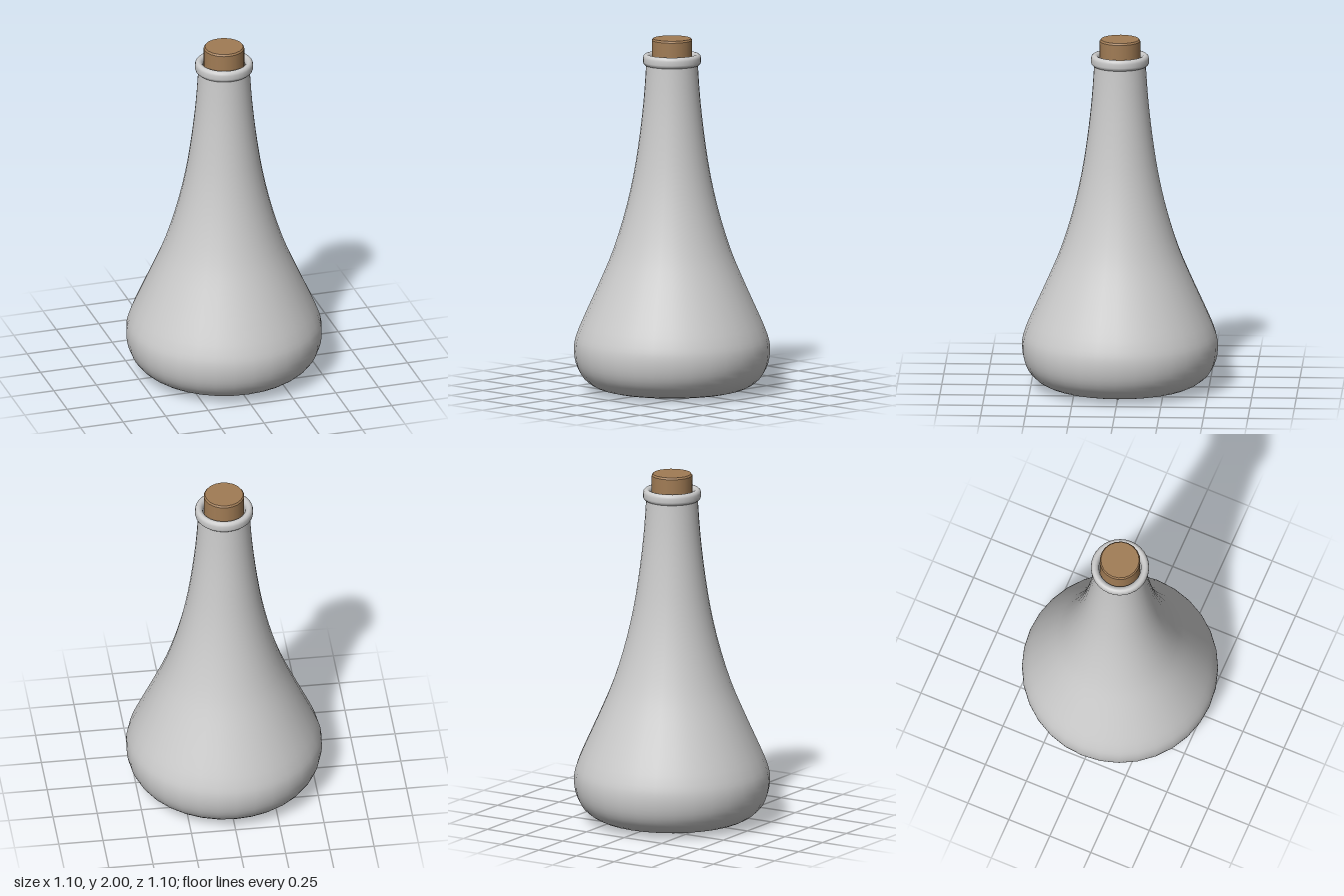
import * as THREE from 'three';

const SIDES = 32;
const points = (list) => list.map(([r, y]) => new THREE.Vector2(r, y));

function lathe(name, profile, material, sides = SIDES) {
  const mesh = new THREE.Mesh(new THREE.LatheGeometry(profile, sides), material);
  mesh.name = name;
  return mesh;
}

export function createModel() {
  const group = new THREE.Group();
  group.name = 'corkedBottle';
  const glass = new THREE.MeshStandardMaterial({ color: 0xcccccc, side: THREE.DoubleSide });
  const corkMaterial = new THREE.MeshStandardMaterial({ color: 0xa17c55 });

  // Bottle body: flat base, rounded heel, wide belly and long tapering neck
  const bodyCurve = new THREE.SplineCurve(points([
    [0.2, 0], [0.32, 0.007], [0.42, 0.025], [0.49, 0.07], [0.53, 0.13],
    [0.548, 0.2], [0.548, 0.27], [0.53, 0.335], [0.495, 0.42], [0.405, 0.62],
    [0.33, 0.8], [0.265, 1.01], [0.217, 1.22], [0.184, 1.43],
    [0.16, 1.64], [0.147, 1.82], [0.145, 1.87],
  ]));
  const bodyProfile = [new THREE.Vector2(0, 0), ...bodyCurve.getPoints(40)];
  group.add(lathe('bottleBody', bodyProfile, glass));

  // Rounded lip, turning over the rim and down the inside of the neck
  const lipProfile = points([
    [0.143, 1.848], [0.152, 1.85], [0.16, 1.858], [0.163, 1.868], [0.163, 1.89],
    [0.16, 1.902], [0.152, 1.91], [0.143, 1.912], [0.132, 1.909], [0.123, 1.9],
    [0.118, 1.885], [0.118, 1.75],
  ]);
  group.add(lathe('bottleLip', lipProfile, glass));

  // Cork stopper with a slightly bevelled top edge; doubled points keep the rims sharp
  const corkProfile = points([
    [0, 1.75], [0.114, 1.75], [0.114, 1.75], [0.114, 1.99], [0.114, 1.99],
    [0.107, 2], [0.107, 2], [0, 2],
  ]);
  group.add(lathe('cork', corkProfile, corkMaterial, 20));

  return group;
}
